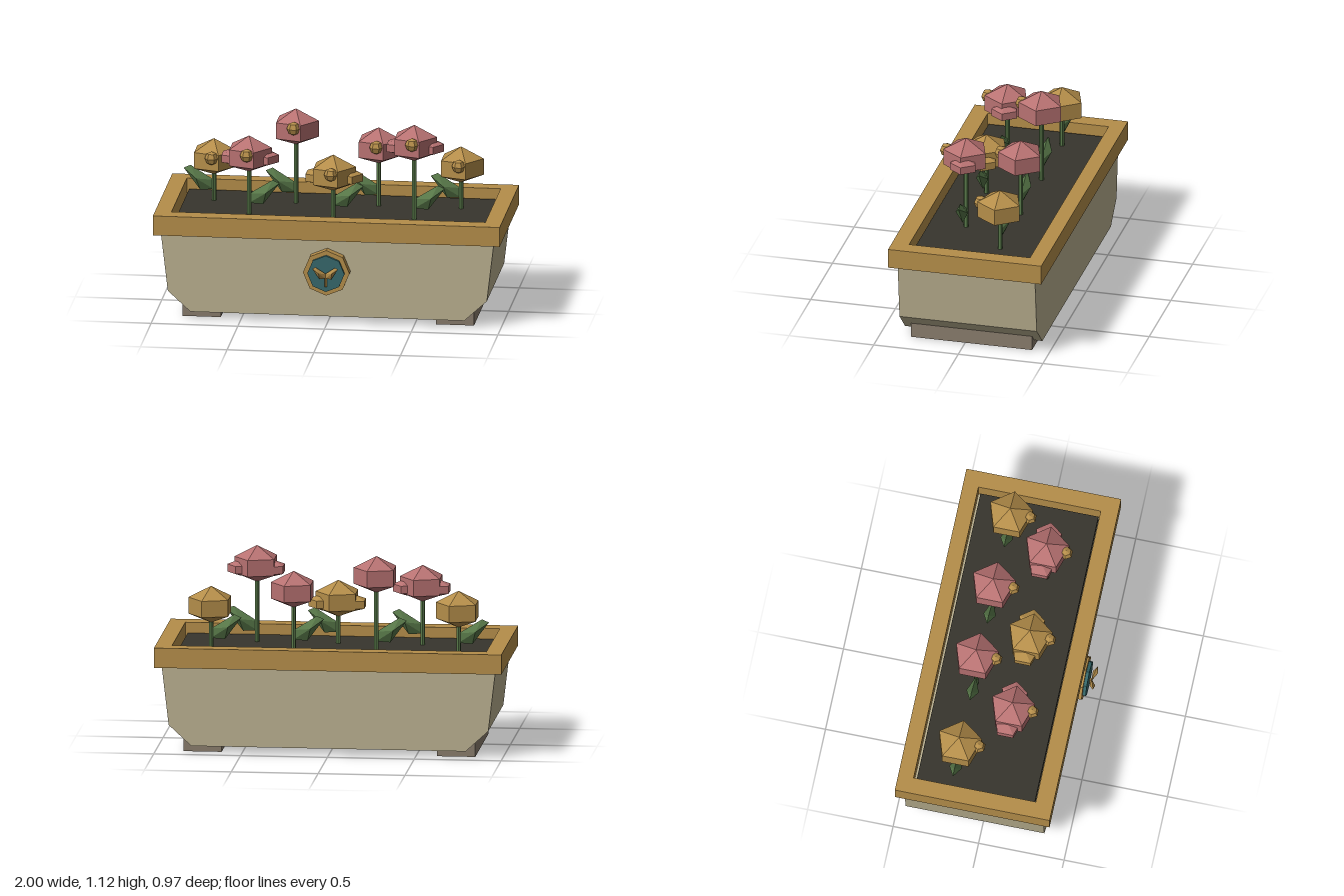
import * as THREE from 'three';
import { ConvexGeometry } from 'three/addons/geometries/ConvexGeometry.js';

const mat = (name, color) => {
  const m = new THREE.MeshStandardMaterial({ color, flatShading: true });
  m.name = name;
  return m;
};

export function createModel() {
  const stone = mat('stone', 0xbab090);
  const gold = mat('gold', 0xb58e4a);
  const soil = mat('soil', 0x37352d);
  const footGrey = mat('foot grey', 0x887c6c);
  const teal = mat('teal', 0x37696c);
  const pink = mat('pink', 0xb87272);
  const green = mat('green', 0x587849);

  const model = new THREE.Group();
  model.name = 'flowerPlanter';

  const add = (parent, name, geo, material, x = 0, y = 0, z = 0) => {
    const m = new THREE.Mesh(geo, material);
    m.name = name;
    m.position.set(x, y, z);
    parent.add(m);
    return m;
  };
  const group = (name, x, y, z) => {
    const g = new THREE.Group();
    g.name = name;
    g.position.set(x, y, z);
    model.add(g);
    return g;
  };
  const V = (x, y, z) => new THREE.Vector3(x, y, z);

  // Trough: tapered profile with chamfered lower ends, extruded along z
  const profile = new THREE.Shape([
    [-0.79, 0.04], [0.79, 0.04], [0.92, 0.16], [0.96, 0.5], [-0.96, 0.5], [-0.92, 0.16],
  ].map(([x, y]) => new THREE.Vector2(x, y)));
  add(model, 'trough', new THREE.ExtrudeGeometry(profile, { depth: 0.811, bevelEnabled: false }), stone, 0, 0, -0.443);

  // Rim frame with a rectangular opening
  const rect = (C, x, y0, y1) => new C([
    new THREE.Vector2(-x, y0), new THREE.Vector2(x, y0), new THREE.Vector2(x, y1), new THREE.Vector2(-x, y1),
  ]);
  const frame = rect(THREE.Shape, 1, -0.415, 0.49);
  frame.holes.push(rect(THREE.Path, 0.905, -0.315, 0.4));
  const rimGeo = new THREE.ExtrudeGeometry(frame, { depth: 0.115, bevelEnabled: false });
  rimGeo.rotateX(-Math.PI / 2);
  add(model, 'rim', rimGeo, gold, 0, 0.5, 0);

  add(model, 'soil', new THREE.BoxGeometry(1.78, 0.055, 0.69), soil, 0, 0.5275, -0.04);

  for (const s of [1, -1]) {
    add(model, s > 0 ? 'leftFoot' : 'rightFoot', new THREE.BoxGeometry(0.22, 0.09, 0.715), footGrey, s * 0.73, 0.045, -0.0375);
  }

  // Folded leaf pointing along +x
  const leafGeo = new ConvexGeometry([
    V(0, 0.0, 0), V(0, 0.055, 0), V(0.08, -0.005, 0), V(0.1, 0.07, 0.036),
    V(0.1, 0.07, -0.036), V(0.135, 0.14, 0), V(0.175, 0.122, 0),
  ]);

  // Octagonal badge with a sprout
  const disc = (r, d) => new THREE.CylinderGeometry(r, r, d, 8).rotateX(Math.PI / 2);
  const badge = group('badge', 0, 0.311, 0);
  add(badge, 'badgeRing', disc(0.134, 0.054), gold, 0, 0, 0.393);
  add(badge, 'badgeDisc', disc(0.107, 0.019), teal, 0, 0, 0.429);
  add(badge, 'sproutStem', new THREE.CylinderGeometry(0.007, 0.007, 0.075, 5), gold, 0, -0.036, 0.446);
  for (const s of [1, -1]) {
    const leaf = add(badge, 'sproutLeaf', leafGeo, gold, 0, -0.023, 0.452);
    leaf.scale.set(0.44, 0.5, 0.44);
    leaf.rotation.y = s > 0 ? -0.3 : Math.PI + 0.3;
  }

  // Five-sided bloom: cone, straight band, cone
  const bloomGeo = new THREE.LatheGeometry([
    [0, 0], [0.131, 0.05], [0.131, 0.145], [0, 0.213],
  ].map(([r, y]) => new THREE.Vector2(r, y)), 5, Math.PI / 2);
  const stamenGeo = new THREE.SphereGeometry(0.04, 6, 4);

  // [x, z, bottom of bloom, petal colour]; the front row carries side petals
  const flowers = [
    [-0.72, -0.172, 0.71, gold], [-0.247, -0.172, 0.903, pink],
    [0.23, -0.172, 0.807, pink], [0.705, -0.172, 0.71, gold],
    [-0.485, 0.09, 0.807, pink], [0, 0.09, 0.71, gold], [0.468, 0.09, 0.903, pink],
  ];
  for (const [x, z, top, petal] of flowers) {
    const front = z > 0;
    const f = group('flower', x, 0, z);
    const h = top + 0.02 - 0.55;
    add(f, 'stem', new THREE.CylinderGeometry(0.014, 0.014, h, 6), green, 0, 0.55 + h / 2, 0);
    add(f, 'leaf', leafGeo, green, 0, 0.62, 0).rotation.y = front ? 0 : Math.PI;
    add(f, 'bloom', bloomGeo, petal, 0, top, 0);
    add(f, 'stamen', stamenGeo, gold, 0, top + 0.125, 0.115);
    if (front) {
      for (const s of [1, -1]) {
        add(f, 'sidePetal', bloomGeo, petal, s * 0.092, top + 0.035, -0.01).scale.set(0.6, 0.46, 0.6);
      }
    }
  }
  return model;
}
